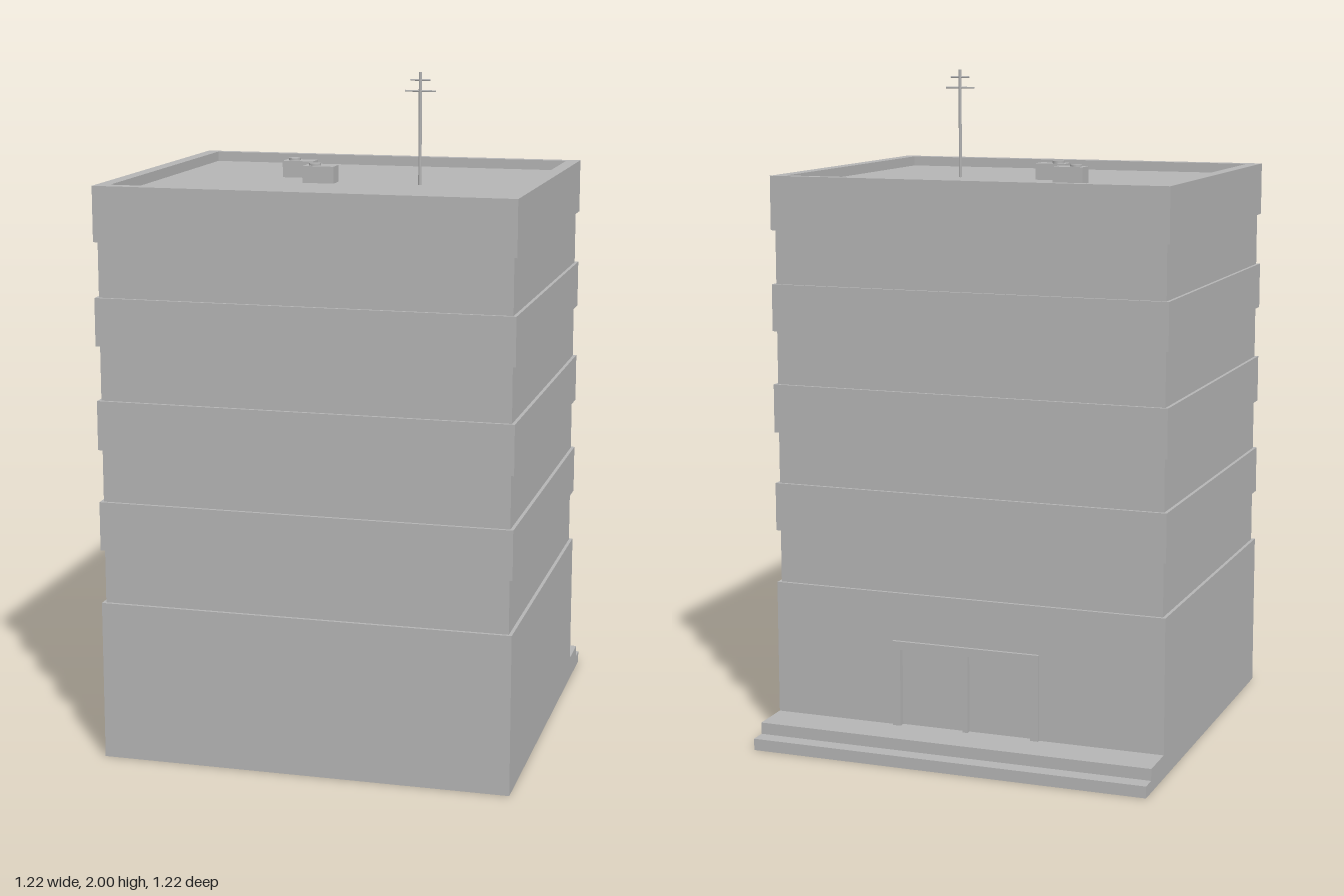
import * as THREE from 'three';

export function createModel() {
  const model = new THREE.Group();
  const concrete = new THREE.MeshStandardMaterial({ color: 0xb4b4b4 });
  concrete.name = 'concrete grey';

  function add(name, geometry, x, y, z, parent = model) {
    const mesh = new THREE.Mesh(geometry, concrete);
    mesh.name = name;
    mesh.position.set(x, y, z);
    parent.add(mesh);
    return mesh;
  }
  // Box given by its minimum and maximum on each axis
  function box(name, x0, x1, y0, y1, z0, z1, parent) {
    return add(name, new THREE.BoxGeometry(x1 - x0, y1 - y0, z1 - z0),
      (x0 + x1) / 2, (y0 + y1) / 2, (z0 + z1) / 2, parent);
  }

  const W = 0.61, BACK = -0.435, FRONT = 0.61;
  const ROOF = 1.67, TOP = 1.7, BASE = 0.475, STEP = 0.07;
  const DOOR_X = 0.23, DOOR_TOP = 0.33, DOOR_Z = -0.425;

  // Ground floor, with an opening left in the outer skin for the entrance
  box('groundFloor', -W, W, 0, BASE, DOOR_Z, FRONT);
  box('entranceWallRight', -W, -DOOR_X, 0, BASE, BACK, DOOR_Z);
  box('entranceWallLeft', DOOR_X, W, 0, BASE, BACK, DOOR_Z);
  box('entranceWallAbove', -DOOR_X, DOOR_X, DOOR_TOP, BASE, BACK, DOOR_Z);

  // Recessed upper floors and projecting bands
  box('recessedFloors', -0.6, 0.6, BASE, 1.54, -0.425, 0.6);
  for (const [y0, y1] of [[0.635, 0.78], [0.935, 1.08], [1.24, 1.38], [1.54, ROOF]]) {
    box('floorBand', -W, W, y0, y1, BACK, FRONT);
  }

  // Parapet: rectangular ring around the roof
  const ring = new THREE.Shape([[-W, -FRONT], [W, -FRONT], [W, -BACK], [-W, -BACK]]
    .map(([x, y]) => new THREE.Vector2(x, y)));
  ring.holes.push(new THREE.Path([[-0.57, -0.57], [-0.57, 0.405], [0.57, 0.405], [0.57, -0.57]]
    .map(([x, y]) => new THREE.Vector2(x, y))));
  const parapet = new THREE.ExtrudeGeometry(ring, { depth: TOP - ROOF, bevelEnabled: false });
  parapet.rotateX(-Math.PI / 2);
  add('parapet', parapet, 0, ROOF, 0);

  // Entrance steps
  box('lowerStep', -W, W, 0, 0.035, -0.61, DOOR_Z);
  box('upperStep', -W, W, 0.035, STEP, -0.56, DOOR_Z);

  // Door frame and mullion
  const door = new THREE.Group();
  door.name = 'entranceDoor';
  model.add(door);
  for (const s of [-1, 1]) {
    const jamb = box('doorJamb', -0.0125, 0.0125, STEP, DOOR_TOP, -0.445, DOOR_Z, door);
    jamb.position.x = s * (DOOR_X - 0.0125);
  }
  box('doorHeader', -DOOR_X + 0.025, DOOR_X - 0.025, DOOR_TOP - 0.025, DOOR_TOP, -0.445, DOOR_Z, door);
  box('doorMullion', -0.008, 0.008, STEP, DOOR_TOP - 0.025, -0.44, DOOR_Z, door);

  // Rooftop air units with a round vent on each
  for (const [x, z] of [[-0.23, -0.055], [-0.13, 0.075]]) {
    const unit = new THREE.Group();
    unit.name = 'airUnit';
    model.add(unit);
    box('unitCase', x, x + 0.095, ROOF, 1.72, z, z + 0.057, unit);
    add('unitVent', new THREE.CylinderGeometry(0.018, 0.018, 0.007, 16), x + 0.03, 1.7235, z + 0.028, unit);
  }

  // Antenna mast with two crossbars
  const antenna = new THREE.Group();
  antenna.name = 'antenna';
  antenna.position.set(0.22, 0, 0.1);
  model.add(antenna);
  add('mast', new THREE.CylinderGeometry(0.005, 0.005, 2 - ROOF, 8), 0, (2 + ROOF) / 2, 0, antenna);
  for (const [y, half] of [[1.945, 0.046], [1.977, 0.03]]) {
    const bar = new THREE.CylinderGeometry(0.003, 0.003, half * 2, 6);
    bar.rotateZ(Math.PI / 2);
    add('crossbar', bar, 0, y, 0, antenna);
  }

  return model;
}
